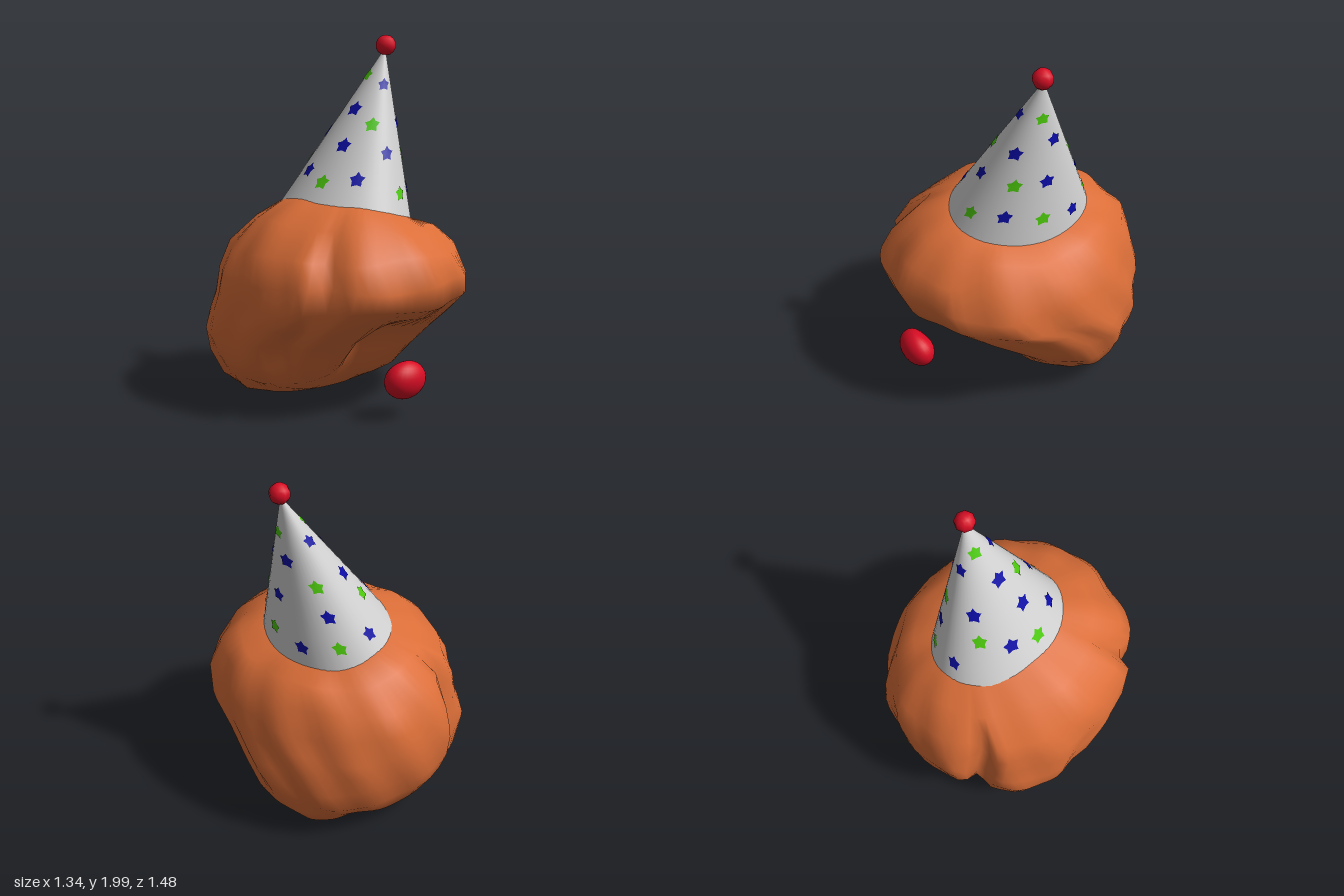
import * as THREE from 'three';

const mat = (name, color, side = THREE.FrontSide) => {
  const m = new THREE.MeshStandardMaterial({ color, side });
  m.name = name;
  return m;
};

// Closed-loop skin over rings listed from top to bottom
function loft(rings, n) {
  const pos = [], idx = [];
  rings.forEach(r => r.forEach(p => pos.push(...p)));
  for (let i = 0; i < rings.length - 1; i++) {
    for (let j = 0; j < n; j++) {
      const a = i * n + j, b = i * n + (j + 1) % n;
      idx.push(a, b, a + n, b, b + n, a + n);
    }
  }
  const g = new THREE.BufferGeometry();
  g.setAttribute('position', new THREE.Float32BufferAttribute(pos, 3));
  g.setIndex(idx);
  g.computeVertexNormals();
  return g;
}

// Hair cross-sections: y, left x, right x, front z, back z, tilt, squareness of the two front corners
const HAIR = [
  [1.08, 0.05, 0.06, 0.01, -0.01, 0.3, 2, 2],
  [1.07, -0.2, 0.35, 0.39, -0.38, 0.28, 2, 2],
  [0.98, -0.43, 0.50, 0.55, -0.53, 0.07, 2, 2],
  [0.86, -0.59, 0.59, 0.67, -0.66, 0, 2.2, 2.2],
  [0.72, -0.65, 0.64, 0.73, -0.71, 0, 2.4, 2.3],
  [0.60, -0.66, 0.66, 0.68, -0.73, 0, 2.7, 2.4],
  [0.50, -0.67, 0.66, 0.52, -0.73, 0, 3, 2.5],
  [0.38, -0.67, 0.65, 0.36, -0.71, 0, 2.8, 2.5],
  [0.26, -0.63, 0.61, 0.26, -0.68, 0, 2.5, 2.5],
  [0.15, -0.56, 0.55, 0.16, -0.61, 0, 2.3, 2.3],
  [0.07, -0.45, 0.49, 0.01, -0.52, 0, 2.2, 2.2],
  [0.015, -0.3, 0.36, -0.1, -0.40, 0, 2, 2],
  [0.02, 0, 0.02, -0.2, -0.22, 0, 2, 2],
];

function hairGeometry() {
  const n = 72;
  const rings = HAIR.map(([y, xl, xr, zf, zb, tilt, eLeft, eRight], i) => {
    const cx = (xl + xr) / 2, cz = (zf + zb) / 2;
    const body = i > 1 && i < 11 ? 1 : 0;
    return Array.from({ length: n }, (_, j) => {
      const a = j / n * Math.PI * 2, c = Math.cos(a), s = Math.sin(a);
      const e = s < 0 ? 1.87 : c < 0 ? eLeft : eRight;
      const r = Math.pow(Math.abs(c) ** e + Math.abs(s) ** e, -1 / e);
      // Lumpy locks, with two deep partings on one side
      let k = 1 + body * (0.013 * Math.sin(7 * a + y * 5) + 0.012 * Math.sin(13 * a - y * 9 + 1));
      if (y > 0.1 && y < 0.95) {
        for (const g of [2.4, 4.08]) k -= 0.15 * Math.exp(-(((a - g) / 0.1) ** 2));
      }
      const x = cx + c * r * k * (xr - xl) / 2;
      let z = cz + s * r * k * (zf - zb) / 2;
      // Hollow under the fringe
      if (s > 0 && y < 0.45 && body) {
        z -= 0.18 * s * Math.min(1, y / 0.2) * Math.exp(-(((x - 0.06) / 0.18) ** 2));
      }
      const jag = body * 0.014 * Math.sin(5 * a + i * 2);
      return [x, Math.max(0, y - tilt * (x - 0.07) + jag), z];
    });
  });
  return loft(rings, n);
}

// Point on the leaning party hat: t from base (0) to tip (1)
const hatPoint = (t, a, out = 0) => {
  const w = 1 - t;
  return [
    0.325 * t + (0.378 * w + out) * Math.cos(a),
    0.93 + t + out * 0.3,
    0.03 * t + (0.465 * w + out) * Math.sin(a),
  ];
};

// Five-pointed star wrapped onto the hat
function starGeometry(t, deg, size) {
  const a = THREE.MathUtils.degToRad(deg), r = 0.42 * (1 - t);
  const pos = [...hatPoint(t, a, 0.004)], idx = [];
  for (let k = 0; k < 10; k++) {
    const q = k / 10 * Math.PI * 2 + Math.PI / 2, d = k % 2 ? size * 0.62 : size;
    pos.push(...hatPoint(t + d * Math.sin(q) * 0.92, a + d * Math.cos(q) / r, 0.004));
    idx.push(0, (k + 1) % 10 + 1, k + 1);
  }
  const g = new THREE.BufferGeometry();
  g.setAttribute('position', new THREE.Float32BufferAttribute(pos, 3));
  g.setIndex(idx);
  g.computeVertexNormals();
  return g;
}

// Star places: height along the hat, angle in degrees
const BLUE = [
  [0.8, 105], [0.6, 55], [0.44, 96], [0.31, 131], [0.24, 42], [0.48, 161],
  [0.65, -18], [0.42, 2], [0.17, -25], [0.37, -62], [0.24, -98],
  [0.54, -126], [0.34, -163], [0.67, 172], [0.76, -98],
];
const GREEN = [
  [0.59, 125], [0.42, 41], [0.23, 77], [0.29, 168], [0.79, 10], [0.2, 7],
  [0.53, -62], [0.2, -61], [0.4, -130], [0.85, -160],
];

export function createModel() {
  const model = new THREE.Group();
  const orange = mat('hair orange', 0xdb6e38);
  const white = mat('hat pale grey', 0xd0d0d0, THREE.DoubleSide);
  const red = mat('red', 0xd80c24);
  const blue = mat('star blue', 0x0c0ca4, THREE.DoubleSide);
  const green = mat('star green', 0x4cc80c, THREE.DoubleSide);

  const add = (name, geometry, material, parent = model) => {
    const m = new THREE.Mesh(geometry, material);
    m.name = name;
    parent.add(m);
    return m;
  };

  add('hair', hairGeometry(), orange);

  // Hat cone, pompom and stars
  const hat = new THREE.Group();
  hat.name = 'partyHat';
  model.add(hat);
  const n = 48;
  const rings = [0.995, 0.75, 0.5, 0.25, 0].map(t =>
    Array.from({ length: n }, (_, j) => hatPoint(t, j / n * Math.PI * 2)));
  add('hatCone', loft(rings, n), white, hat);
  add('pompom', new THREE.SphereGeometry(0.057, 8, 7), red, hat).position.set(0.325, 1.943, 0.035);
  for (const [name, list, m] of [['blueStar', BLUE, blue], ['greenStar', GREEN, green]]) {
    for (const [t, deg] of list) add(name, starGeometry(t, deg, t > 0.7 ? 0.038 : 0.044), m, hat);
  }

  // Round nose with a shallow dimple at the upper back
  const noseGeo = new THREE.SphereGeometry(1, 24, 16);
  const p = noseGeo.attributes.position;
  const dimple = new THREE.Vector3(0, 0.6, -0.8);
  for (let i = 0; i < p.count; i++) {
    const v = new THREE.Vector3().fromBufferAttribute(p, i);
    v.multiplyScalar(1 - 0.16 * Math.exp(-((v.distanceTo(dimple) / 0.45) ** 2)));
    p.setXYZ(i, v.x, v.y, v.z);
  }
  noseGeo.scale(0.126, 0.104, 0.087);
  noseGeo.computeVertexNormals();
  const nose = add('nose', noseGeo, red);
  nose.position.set(-0.05, 0.222, 0.615);
  nose.rotation.x = 0.2;

  return model;
}
